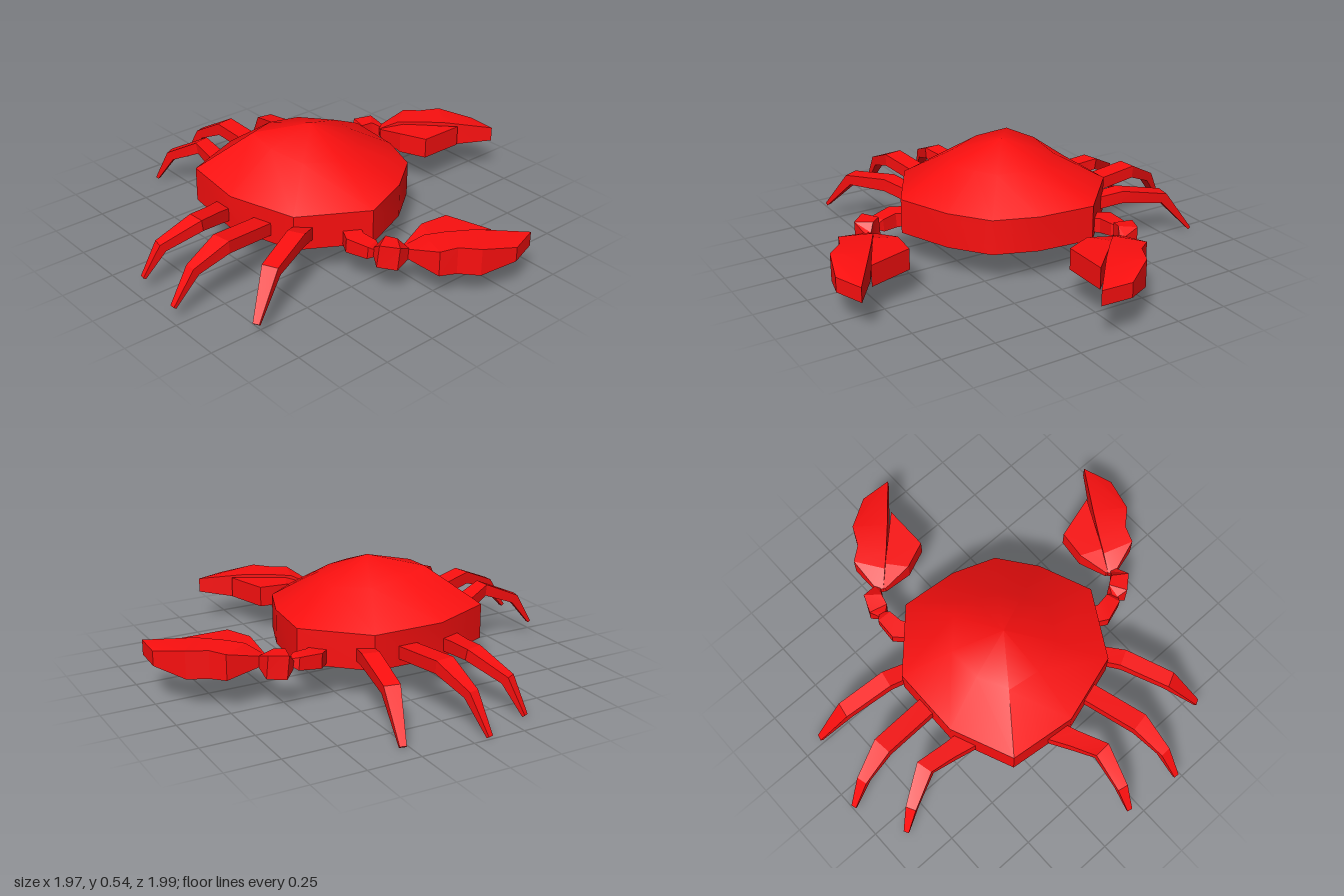
import * as THREE from 'three';
import { toCreasedNormals } from 'three/addons/utils/BufferGeometryUtils.js';

const V = (u, y, v) => new THREE.Vector3(u, y, -v); // u: sideways, v: towards the claws

// Skin a stack of equal-sized rings, closing both ends with fans
function skin(rings, crease, capA, capB) {
  const tris = [];
  const n = rings[0].length;
  const centre = r => r.reduce((a, p) => a.add(p), new THREE.Vector3()).divideScalar(n);
  const first = rings[0], last = rings[rings.length - 1];
  const a0 = capA || centre(first), b0 = capB || centre(last);
  for (let j = 0; j < n; j++) {
    const k = (j + 1) % n;
    for (let i = 0; i < rings.length - 1; i++) {
      const a = rings[i], b = rings[i + 1];
      tris.push([a[j], a[k], b[k]], [a[j], b[k], b[j]]);
    }
    tris.push([a0, first[k], first[j]], [b0, last[j], last[k]]);
  }
  // Turn the faces outward whichever way the rings run
  let volume = 0;
  for (const [a, b, c] of tris) volume += a.dot(b.clone().cross(c));
  const points = tris.flatMap(t => (volume < 0 ? [t[0], t[2], t[1]] : t));
  return toCreasedNormals(new THREE.BufferGeometry().setFromPoints(points), crease);
}

// Box-section limb along a path of [u, y, v, width, height]
function limb(path, side, lift) {
  const pts = path.map((p, i) => V(p[0] * side, p[1] + lift * side * i / (path.length - 1), p[2]));
  const rings = pts.map((p, i) => {
    const before = pts[Math.max(i - 1, 0)], after = pts[Math.min(i + 1, pts.length - 1)];
    const dir = after.clone().sub(before).normalize();
    const across = new THREE.Vector3(-dir.z, 0, dir.x).normalize();
    const up = across.clone().cross(dir);
    const [w, h] = [path[i][3] / 2, path[i][4] / 2];
    return [[-1, -1], [1, -1], [1, 1], [-1, 1]].map(([a, b]) =>
      p.clone().addScaledVector(across, a * w).addScaledVector(up, b * h));
  });
  return skin(rings, 0.25);
}

// Claw finger from sections of [inner u, inner v, outer u, outer v, height]
function finger(sections, side, y) {
  return skin(sections.map(([iu, iv, ou, ov, h]) => [
    V(iu * side, y - h / 2, iv), V(ou * side, y - h / 2, ov),
    V(ou * side, y + h / 2, ov), V(iu * side, y + h / 2, iv),
  ]), 0.25);
}

export function createModel() {
  const material = new THREE.MeshStandardMaterial({ color: 0xfa0f0f });
  const crab = new THREE.Group();
  crab.name = 'crab';
  const pose = new THREE.Group();
  pose.name = 'crabBody';
  pose.rotation.y = -Math.asin(0.6);
  pose.position.set(0.008, 0, 0.006);
  crab.add(pose);
  const add = (name, geometry, parent = pose) => {
    const mesh = new THREE.Mesh(geometry, material);
    mesh.name = name;
    parent.add(mesh);
  };

  // Shell: half outline [u, v, height of the dome half way in], mirrored
  const half = [[0, 0.40, 0.46], [0.205, 0.34, 0.465], [0.435, 0.20, 0.46],
    [0.475, -0.148, 0.47], [0.275, -0.42, 0.495], [0, -0.58, 0.51]];
  const outline = [...half, ...half.slice(1, -1).reverse().map(([u, v, y]) => [-u, v, y])];
  const mid = -0.05;
  const ring = (f, y) => outline.map(([u, v, top]) => V(u * f, y ?? top, mid + (v - mid) * f));
  add('shell', skin([ring(0.5, 0.11), ring(1, 0.17), ring(1, 0.335), ring(0.5)], 0.6,
    V(0, 0.11, mid), V(0, 0.553, mid)));

  // Walking legs, front to back: [u, y, v, width, height]
  const legs = {
    frontLeg: [[0.40, 0.23, -0.08, 0.07, 0.06], [0.55, 0.265, -0.14, 0.08, 0.06],
      [0.75, 0.23, -0.25, 0.075, 0.05], [0.895, 0.05, -0.316, 0.03, 0.015]],
    middleLeg: [[0.34, 0.23, -0.25, 0.09, 0.06], [0.585, 0.27, -0.455, 0.09, 0.06],
      [0.685, 0.20, -0.575, 0.05, 0.045], [0.75, 0.05, -0.66, 0.025, 0.015]],
    backLeg: [[0.19, 0.22, -0.44, 0.10, 0.06], [0.29, 0.24, -0.50, 0.08, 0.06],
      [0.40, 0.265, -0.565, 0.08, 0.055], [0.475, 0.19, -0.72, 0.05, 0.045],
      [0.515, 0.05, -0.80, 0.025, 0.015]],
  };
  // Claw arm with a narrow joint before the wrist block
  const arm = [[0.40, 0.215, 0.10, 0.08, 0.06], [0.49, 0.215, 0.115, 0.09, 0.07],
    [0.545, 0.215, 0.185, 0.07, 0.06], [0.555, 0.215, 0.205, 0.035, 0.035]];
  const wrist = [[0.553, 0.215, 0.20, 0.035, 0.035], [0.57, 0.215, 0.222, 0.09, 0.11],
    [0.59, 0.215, 0.29, 0.085, 0.11], [0.565, 0.215, 0.335, 0.03, 0.05]];
  const outerFinger = [[0.54, 0.325, 0.57, 0.32, 0.04], [0.525, 0.41, 0.67, 0.46, 0.12],
    [0.513, 0.50, 0.647, 0.54, 0.13], [0.50, 0.635, 0.667, 0.64, 0.13],
    [0.485, 0.885, 0.61, 0.80, 0.07]];
  const innerFinger = [[0.53, 0.325, 0.55, 0.33, 0.04], [0.414, 0.414, 0.522, 0.44, 0.10],
    [0.345, 0.532, 0.478, 0.71, 0.10]];

  for (const [prefix, side] of [['left', 1], ['right', -1]]) {
    for (const [name, path] of Object.entries(legs)) {
      add(prefix + name[0].toUpperCase() + name.slice(1), limb(path, side, 0.03));
    }
    const claw = new THREE.Group();
    claw.name = prefix + 'Claw';
    pose.add(claw);
    const y = 0.215 - 0.015 * side;
    add('clawArm', limb(arm, side, -0.015), claw);
    add('clawWrist', limb(wrist, side, -0.015), claw);
    add('outerFinger', finger(outerFinger, side, y), claw);
    add('innerFinger', finger(innerFinger, side, y), claw);
  }
  return crab;
}
